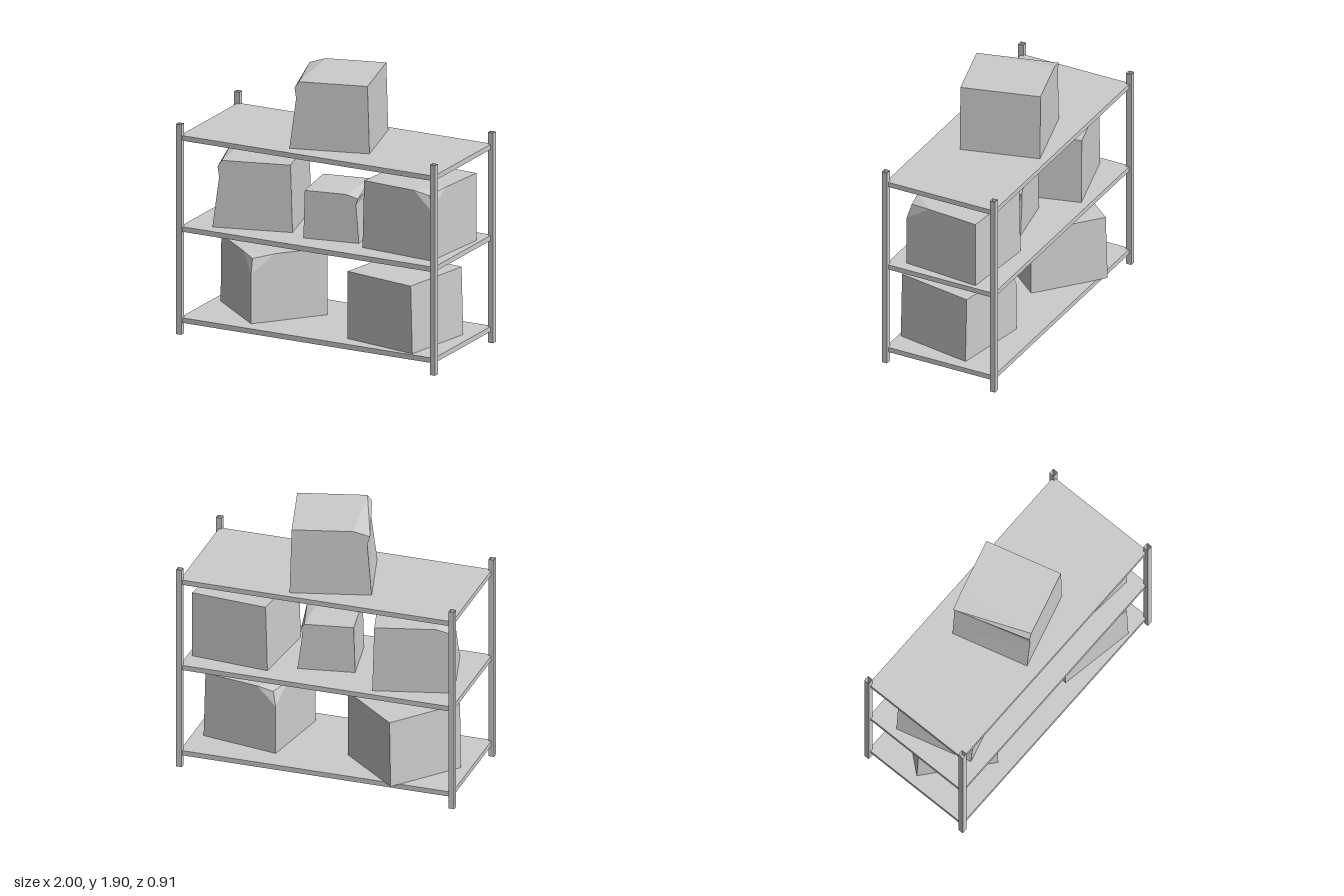
import * as THREE from 'three';

const S = 0.28; // half width of a carton
const H = 0.48; // height of a carton

// Faceted solid from corner points and polygons (each fanned from its first corner)
function faceted(points, polygons) {
  const pos = [];
  for (const poly of polygons) {
    for (let i = 1; i < poly.length - 1; i++) {
      for (const key of [poly[0], poly[i], poly[i + 1]]) pos.push(...points[key]);
    }
  }
  const geo = new THREE.BufferGeometry();
  geo.setAttribute('position', new THREE.Float32BufferAttribute(pos, 3));
  geo.computeVertexNormals();
  return geo;
}

// Carton whose top edge on the -x side is crushed
function edgeCrushedCarton() {
  const t = S - 0.014;
  const p = {
    f0: [-S, 0, S], f1: [-S + 0.047, 0.36, S], f2: [-S + 0.036, 0.435, S], f3: [-S + 0.067, H, S],
    b0: [-S, 0, -S], b1: [-S + 0.03, 0.385, -S], b2: [-S + 0.01, 0.445, -S], b3: [-S + 0.124, H, -S],
    rf0: [S, 0, S], rf1: [t, H, S], rb0: [S, 0, -S], rb1: [t, H, -S],
  };
  return faceted(p, [
    ['rf1', 'f3', 'f2', 'f1', 'f0', 'rf0'],
    ['rb1', 'rb0', 'b0', 'b1', 'b2', 'b3'],
    ['rf0', 'rb0', 'rb1', 'rf1'],
    ['f3', 'rf1', 'rb1', 'b3'],
    ['b0', 'f0', 'f1', 'b1'],
    ['b1', 'f1', 'f2', 'b2'],
    ['b2', 'f2', 'f3', 'b3'],
    ['f0', 'b0', 'rb0', 'rf0'],
  ]);
}

// Carton whose +x +z top corner is pushed in
function cornerCrushedCarton() {
  const t = S - 0.014;
  const p = {
    c0: [S, 0, S], down: [S, 0.355, S], alongX: [S - 0.14, H, S], alongZ: [S, H, S - 0.18],
    dent: [S - 0.03, H - 0.025, S - 0.022],
    l0: [-S, 0, S], l1: [-t, H, S], b0: [-S, 0, -S], b1: [-t, H, -S],
    r0: [S, 0, -S], r1: [S, H, -S],
  };
  return faceted(p, [
    ['l0', 'c0', 'down', 'alongX', 'l1'],
    ['r0', 'r1', 'alongZ', 'down', 'c0'],
    ['b0', 'b1', 'r1', 'r0'],
    ['b0', 'l0', 'l1', 'b1'],
    ['b1', 'l1', 'alongX', 'alongZ', 'r1'],
    ['alongX', 'down', 'dent'],
    ['down', 'alongZ', 'dent'],
    ['alongZ', 'alongX', 'dent'],
    ['b0', 'r0', 'c0', 'l0'],
  ]);
}

export function createModel() {
  const group = new THREE.Group();
  const grey = new THREE.MeshStandardMaterial({ color: 0xcccccc, side: THREE.DoubleSide });
  grey.name = 'light grey';

  const add = (name, geometry, x, y, z) => {
    const mesh = new THREE.Mesh(geometry, grey);
    mesh.name = name;
    mesh.position.set(x, y, z);
    group.add(mesh);
    return mesh;
  };

  // Square hollow posts, open at both ends
  const r = 0.02 * Math.SQRT2;
  const postGeo = new THREE.CylinderGeometry(r, r, 1.5, 4, 1, true).rotateY(Math.PI / 4).toNonIndexed();
  postGeo.computeVertexNormals();
  for (const x of [-0.98, 0.98]) {
    for (const z of [-0.4, 0.435]) add(z > 0 ? 'frontPost' : 'backPost', postGeo, x, 0.75, z);
  }

  // Shelves
  const thickness = 0.036;
  const floors = [0.08, 0.73, 1.38];
  const shelfGeo = new THREE.BoxGeometry(1.96, thickness, 0.835);
  for (const y of floors) add('shelf', shelfGeo, 0, y + thickness / 2, 0.0175);

  // Cartons: crushed kind, shelf, x, z, turn in degrees, scale
  const edge = edgeCrushedCarton();
  const corner = cornerCrushedCarton();
  const cartons = [
    ['lowerRearCarton', corner, 0, -0.52, -0.06, -40, 1],
    ['lowerCarton', corner, 0, 0.575, 0.09, 170, 1],
    ['middleCarton', edge, 1, -0.582, 0, 15, 1],
    ['smallCarton', edge, 1, 0.045, 0.04, 190, 0.71],
    ['middleCarton', corner, 1, 0.643, 0.015, -5, 1],
    ['topCarton', edge, 2, 0.0125, 0, 15, 1],
  ];
  for (const [name, geo, level, x, z, turn, scale] of cartons) {
    const carton = add(name, geo, x, floors[level] + thickness, z);
    carton.rotation.y = THREE.MathUtils.degToRad(turn);
    carton.scale.setScalar(scale);
  }

  return group;
}
